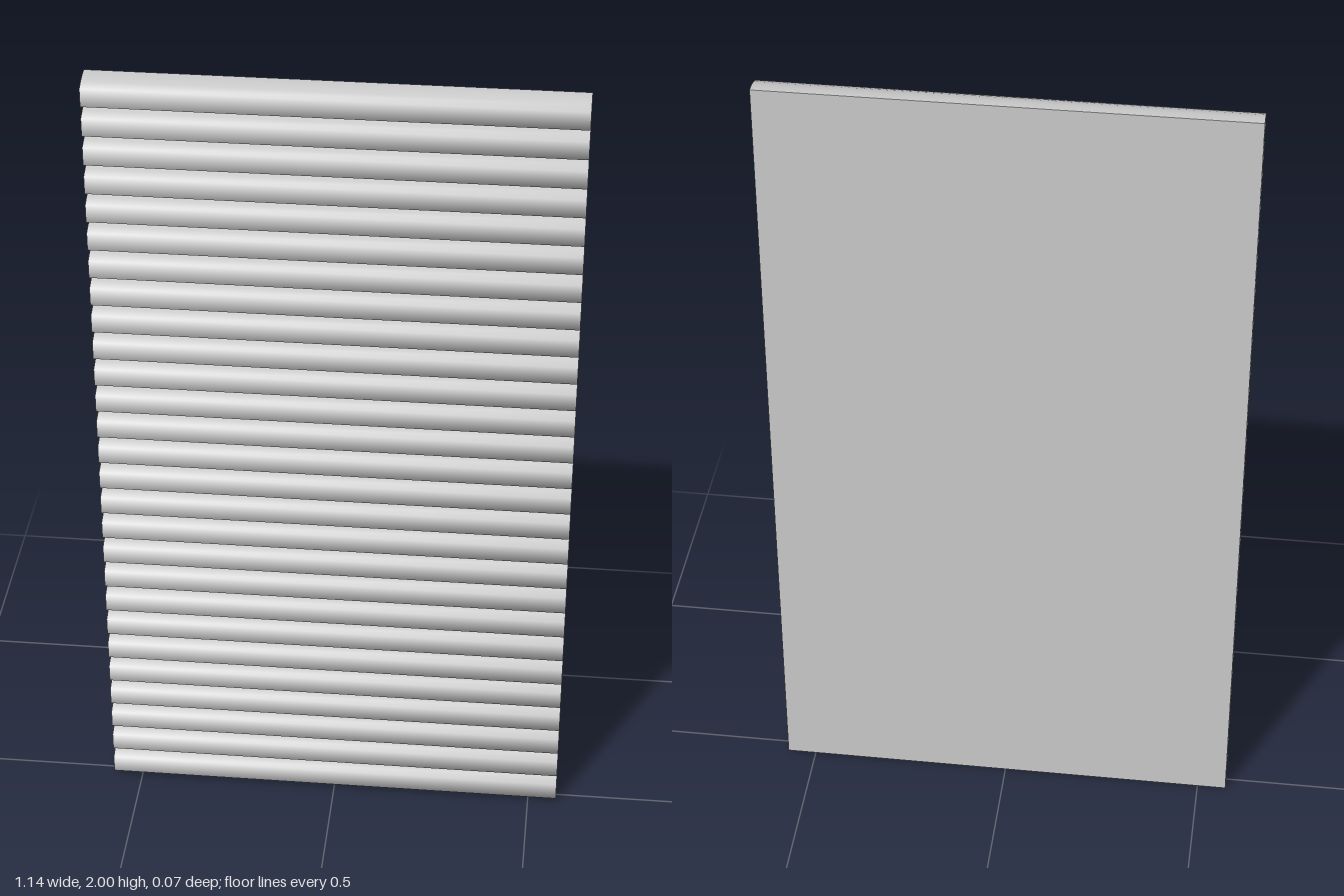
import * as THREE from 'three';
import { toCreasedNormals } from 'three/addons/utils/BufferGeometryUtils.js';

const WIDTH = 1.144, HEIGHT = 2, SLATS = 27;
const BACK = -0.034, GROOVE = -0.011, FRONT = 0.034;

export function createModel() {
  const group = new THREE.Group();
  group.name = 'slattedPanel';
  const pitch = HEIGHT / SLATS;

  // One slat's cross-section: [depth z, height from slat centre]
  const slat = [
    [GROOVE, -pitch / 2], [0.012, -0.0315], [FRONT, -0.0225],
    [FRONT, 0.0225], [0.012, 0.0315],
  ];

  // Side profile: flat back, row of rounded slats with V grooves in front
  const shape = new THREE.Shape();
  shape.moveTo(-BACK, 0);
  for (let i = 0; i < SLATS; i++) {
    for (const [z, y] of slat) shape.lineTo(-z, (i + 0.5) * pitch + y);
  }
  shape.lineTo(-GROOVE, HEIGHT);
  shape.lineTo(-BACK, HEIGHT);
  shape.closePath();

  // Run the profile across the width, smooth over each slat, sharp elsewhere
  const extruded = new THREE.ExtrudeGeometry(shape, { depth: WIDTH, bevelEnabled: false });
  extruded.translate(0, 0, -WIDTH / 2);
  extruded.rotateY(Math.PI / 2);
  const geometry = toCreasedNormals(extruded, THREE.MathUtils.degToRad(78));

  const panel = new THREE.Mesh(geometry, new THREE.MeshStandardMaterial({ color: 0xcccccc }));
  panel.name = 'slats';
  group.add(panel);
  return group;
}
